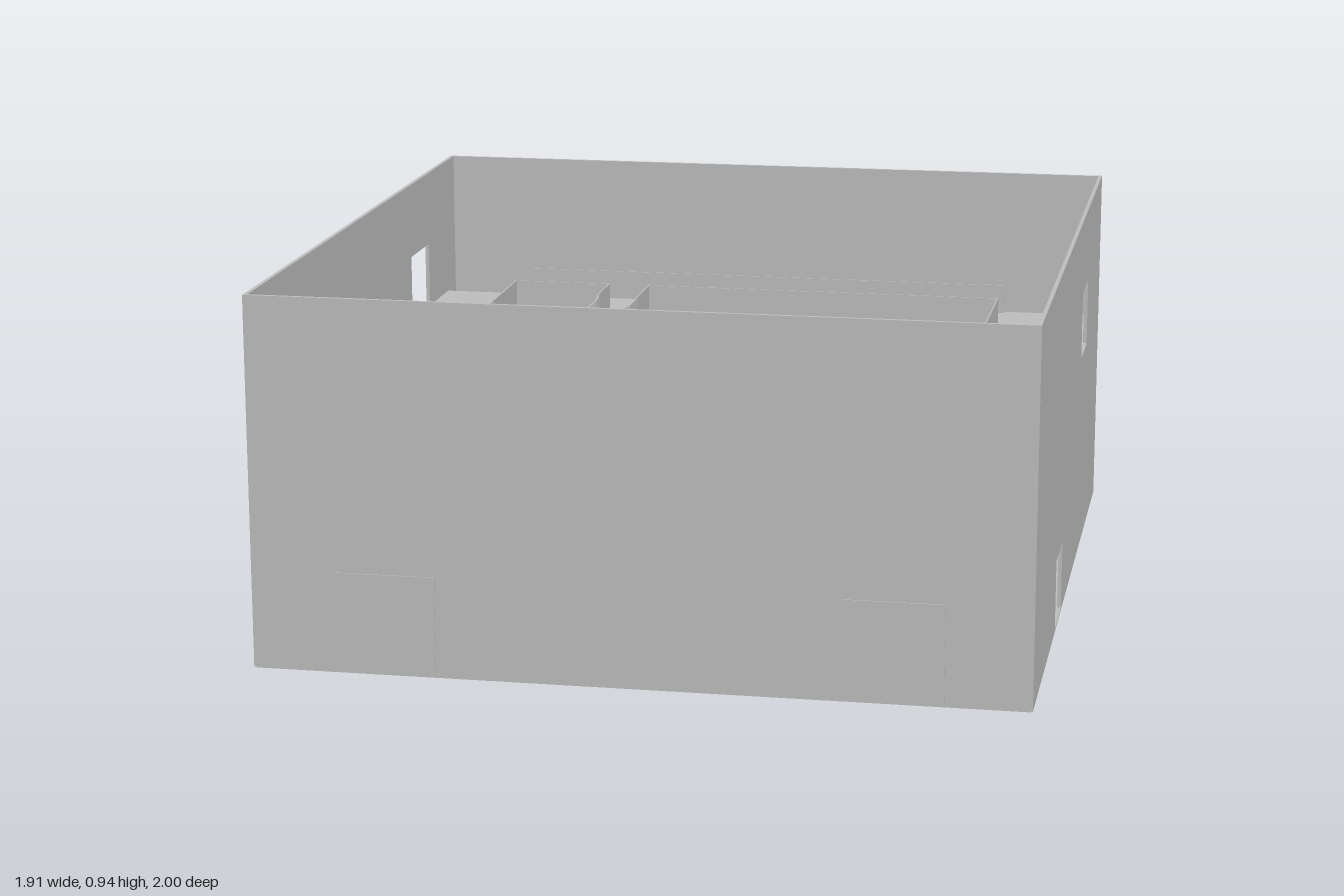
import * as THREE from 'three';

const concrete = new THREE.MeshStandardMaterial({ color: 0xc0c0c0 });
concrete.name = 'concrete grey';

const GROUND = 0.01, MIDDLE = 0.28, UPPER = 0.55, RAIL = 0.08, THICK = 0.01;

function add(parent, name, geometry, x = 0, y = 0, z = 0) {
  const mesh = new THREE.Mesh(geometry, concrete);
  mesh.name = name;
  mesh.position.set(x, y, z);
  parent.add(mesh);
  return mesh;
}

// Box given by its limits on each axis
function block(parent, name, x0, x1, y0, y1, z0, z1) {
  return add(parent, name, new THREE.BoxGeometry(x1 - x0, y1 - y0, z1 - z0),
    (x0 + x1) / 2, (y0 + y1) / 2, (z0 + z1) / 2);
}

const slab = (parent, name, x0, x1, z0, z1, y) => block(parent, name, x0, x1, y - THICK, y, z0, z1);

// Thin parapet along one axis, standing on floor y
function rail(parent, x0, z0, x1, z1, y) {
  const t = 0.002;
  block(parent, 'parapet', Math.min(x0, x1) - t, Math.max(x0, x1) + t, y - THICK, y + RAIL,
    Math.min(z0, z1) - t, Math.max(z0, z1) + t);
}

// Upright wall panel with rectangular openings [u0, u1, y0, y1]
function wall(parent, name, half, openings, depth = THICK) {
  const s = new THREE.Shape();
  s.moveTo(-half, 0.003).lineTo(half, 0.003).lineTo(half, 0.935).lineTo(-half, 0.935).closePath();
  for (const [a, b, c, d] of openings) {
    const h = new THREE.Path();
    h.moveTo(a, c).lineTo(a, d).lineTo(b, d).lineTo(b, c).closePath();
    s.holes.push(h);
  }
  return add(parent, name, new THREE.ExtrudeGeometry(s, { depth, bevelEnabled: false }));
}

// Low block with rounded ends, seen as a stadium from above
function stadium(parent, name, x0, x1, z0, z1, y, height, r) {
  const s = new THREE.Shape();
  s.absarc(x1 - r, -z0 - r, r, 0, Math.PI / 2);
  s.absarc(x0 + r, -z0 - r, r, Math.PI / 2, Math.PI);
  s.absarc(x0 + r, -z1 + r, r, Math.PI, Math.PI * 1.5);
  s.absarc(x1 - r, -z1 + r, r, Math.PI * 1.5, Math.PI * 2);
  const g = new THREE.ExtrudeGeometry(s, { depth: height, bevelEnabled: false, curveSegments: 8 });
  g.rotateX(-Math.PI / 2);
  add(parent, name, g, 0, y, 0);
}

// Sweep a rectangle (radius r0..r1, height h0..h1 over the slope) along a descending arc
function sweep(cx, cz, r0, r1, h0, h1, a0, a1, y0, y1, n) {
  const section = [[r0, h0], [r1, h0], [r1, h1], [r0, h1]];
  const pos = [], idx = [];
  for (let i = 0; i <= n; i++) {
    const t = i / n, a = a0 + (a1 - a0) * t, y = y0 + (y1 - y0) * t;
    for (const [r, h] of section) pos.push(cx + r * Math.cos(a), Math.max(y + h, 0.002), cz + r * Math.sin(a));
  }
  for (let i = 0; i < n; i++) for (let k = 0; k < 4; k++) {
    const p = i * 4 + k, q = i * 4 + (k + 1) % 4;
    idx.push(p, q, q + 4, p, q + 4, p + 4);
  }
  const e = n * 4;
  idx.push(0, 2, 1, 0, 3, 2, e, e + 1, e + 2, e, e + 2, e + 3);
  const g = new THREE.BufferGeometry();
  g.setAttribute('position', new THREE.Float32BufferAttribute(pos, 3));
  g.setIndex(idx);
  const flat = g.toNonIndexed();
  flat.computeVertexNormals();
  return flat;
}

// Curved ramp: deck plus a parapet on either side
function curvedRamp(parent, name, cx, cz, r0, r1, a0, a1, y0, y1, n) {
  const g = new THREE.Group();
  g.name = name;
  const part = (label, ra, rb, h0, h1) => add(g, label, sweep(cx, cz, ra, rb, h0, h1, a0, a1, y0, y1, n));
  part('rampDeck', r0, r1, -THICK, 0);
  part('innerRampParapet', r0 - 0.002, r0 + 0.002, -THICK, RAIL);
  part('outerRampParapet', r1 - 0.002, r1 + 0.002, -THICK, RAIL);
  parent.add(g);
}

export function createModel() {
  const model = new THREE.Group();
  model.name = 'openTopBuilding';
  const group = (name) => {
    const g = new THREE.Group();
    g.name = name;
    model.add(g);
    return g;
  };

  // Outer shell
  const shell = group('shell');
  block(shell, 'groundFloor', -0.95, 0.95, 0, GROUND, -0.994, 0.994);
  wall(shell, 'frontWall', 0.955, []).position.z = 0.987;
  wall(shell, 'backWall', 0.955, [[-0.13, 0.13, 0.01, 0.2]]).position.z = -1;
  const left = wall(shell, 'leftWall', 0.997, [[0.18, 0.37, 0.01, 0.19], [-0.535, -0.34, 0.55, 0.73]]);
  const right = wall(shell, 'rightWall', 0.997, [[-0.69, -0.5, 0.55, 0.73], [-0.057, -0.006, 0.63, 0.69]]);
  left.rotation.y = right.rotation.y = -Math.PI / 2;
  left.position.x = 0.955;
  right.position.x = -0.945;
  for (const s of [-1, 1])
    block(shell, 'frontDoor', s * 0.62 - 0.125, s * 0.62 + 0.125, 0.01, 0.255, 0.996, 1);

  // Middle floor: side strips, cross strips and parapets
  const mid = group('middleFloor');
  for (const s of [-1, 1])
    block(mid, 'sideFloor', s * 0.82 - 0.125, s * 0.82 + 0.125, MIDDLE - THICK, MIDDLE, -0.98, 0.97);
  slab(mid, 'frontCrossFloor', -0.695, 0.695, 0.455, 0.595, MIDDLE);
  slab(mid, 'backCrossFloor', -0.695, 0.695, -0.885, -0.705, MIDDLE);
  for (const z of [0.455, 0.595, -0.705, -0.885]) rail(mid, -0.69, z, 0.69, z, MIDDLE);
  rail(mid, 0.692, -0.705, 0.692, 0.455, MIDDLE);
  for (const [a, b] of [[-0.705, -0.45], [-0.335, 0.03], [0.2, 0.455]]) rail(mid, -0.692, a, -0.692, b, MIDDLE);
  for (const s of [-1, 1]) rail(mid, s * 0.692, 0.595, s * 0.692, 0.97, MIDDLE);

  // Upper floor
  const up = group('upperFloor');
  for (const s of [-1, 1]) {
    block(up, 'sideFloor', s * 0.82 - 0.125, s * 0.82 + 0.125, UPPER - THICK, UPPER, -0.9, 0.815);
    rail(up, s * 0.692, 0.455, s * 0.692, 0.815, UPPER);
  }
  slab(up, 'frontCrossFloor', -0.695, 0.695, 0.29, 0.455, UPPER);
  slab(up, 'backCrossFloor', -0.695, 0.695, -0.885, -0.705, UPPER);
  slab(up, 'spiralLanding', -0.42, -0.305, -0.705, -0.545, UPPER);
  for (const z of [0.29, 0.455, -0.885]) rail(up, -0.692, z, 0.692, z, UPPER);
  rail(up, -0.692, -0.705, -0.42, -0.705, UPPER);
  rail(up, -0.305, -0.705, 0.692, -0.705, UPPER);
  for (const x of [-0.42, -0.305]) rail(up, x, -0.705, x, -0.545, UPPER);
  for (const x of [-0.692, 0.692]) rail(up, x, -0.705, x, 0.29, UPPER);
  stadium(up, 'wallBench', -0.725, -0.695, 0.645, 0.79, UPPER, 0.04, 0.0145);

  // Spiral ramp from upper to middle floor, with its lower landing
  const ramps = group('ramps');
  curvedRamp(ramps, 'spiralRamp', -0.515, -0.545, 0.1, 0.21, 0, Math.PI * 2.5, UPPER, MIDDLE, 25);
  slab(ramps, 'spiralExit', -0.695, -0.515, -0.445, -0.335, MIDDLE);
  for (const z of [-0.445, -0.335]) rail(ramps, -0.695, z, -0.515, z, MIDDLE);

  // Straight bridge and quarter-turn ramp from middle floor to ground
  slab(ramps, 'rampBridge', -0.695, -0.25, 0.03, 0.2, MIDDLE);
  for (const z of [0.03, 0.2]) rail(ramps, -0.695, z, -0.25, z, MIDDLE);
  curvedRamp(ramps, 'quarterRamp', -0.25, 0.41, 0.21, 0.38, -Math.PI / 2, 0, MIDDLE, GROUND, 20);

  // Ground floor fittings
  const fit = group('groundFittings');
  add(fit, 'roundPlinth', new THREE.CylinderGeometry(0.17, 0.17, 0.04, 48), 0.15, GROUND + 0.02, -0.16);
  stadium(fit, 'longPlinth', 0.43, 0.57, -0.425, 0.05, GROUND, 0.04, 0.065);
  stadium(fit, 'backBench', -0.69, -0.205, -0.98, -0.895, GROUND, 0.04, 0.04);
  stadium(fit, 'backBench', 0.2, 0.685, -0.98, -0.895, GROUND, 0.04, 0.04);
  for (const x of [-0.335, 0.335])
    block(fit, 'counter', x - 0.078, x + 0.078, GROUND, GROUND + 0.04, 0.782, 0.826);
  for (const x of [-0.103, 0.097])
    block(fit, 'smallPost', x - 0.013, x + 0.013, GROUND, GROUND + 0.06, 0.58, 0.62);

  return model;
}
